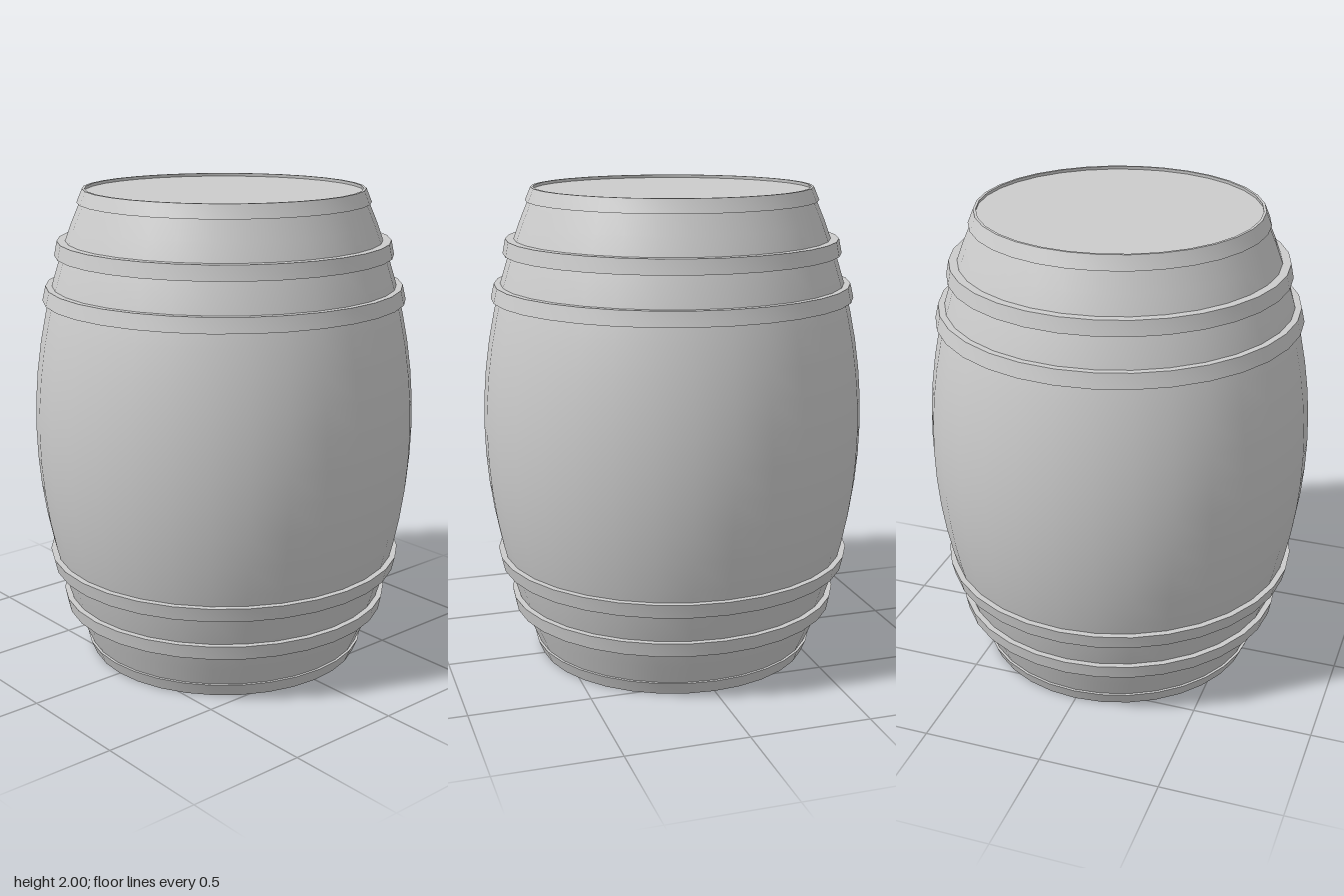
import * as THREE from 'three';
import { toCreasedNormals } from 'three/addons/utils/BufferGeometryUtils.js';

const SIDES = 32;
const HEIGHT = 2;
const RECESS = 0.013;
const material = new THREE.MeshStandardMaterial({ color: 0xcccccc });

// Bulging radius of the staves at height y
const staveRadius = (y) => 0.8 - 0.23 * (y - 1) ** 2;

// Turned part from [radius, y] pairs, outer surface listed from bottom to top
function turned(name, profile) {
  const points = profile.map(([r, y]) => new THREE.Vector2(r, y));
  const mesh = new THREE.Mesh(toCreasedNormals(new THREE.LatheGeometry(points, SIDES), 0.5), material);
  mesh.name = name;
  return mesh;
}

export function createModel() {
  const barrel = new THREE.Group();
  barrel.name = 'barrel';

  // Staves, closed by slightly recessed heads
  const low = RECESS, high = HEIGHT - RECESS;
  const staves = [[0, low]];
  for (let i = 0; i <= 16; i++) {
    const y = low + (high - low) * i / 16;
    staves.push([staveRadius(y), y]);
  }
  staves.push([0, high]);
  barrel.add(turned('staves', staves));

  // Hoops: [lower y, upper y, lower radius, upper radius, inner radius at each edge]
  const hoops = [
    ['endHoop', 1.945, 2, 0.605, 0.582, 0.58, 0.571],
    ['quarterHoop', 1.73, 1.79, 0.702, 0.69, 0.66, 0.64],
    ['bilgeHoop', 1.545, 1.605, 0.756, 0.742, 0.71, 0.69],
  ];
  for (const [name, y0, y1, r0, r1, in0, in1] of hoops) {
    const upper = [[in0, y0], [r0, y0], [r1, y1], [in1, y1], [in0, y0]];
    const lower = upper.map(([r, y]) => [r, HEIGHT - y]).reverse();
    barrel.add(turned(name + 'Top', upper), turned(name + 'Bottom', lower));
  }
  return barrel;
}
